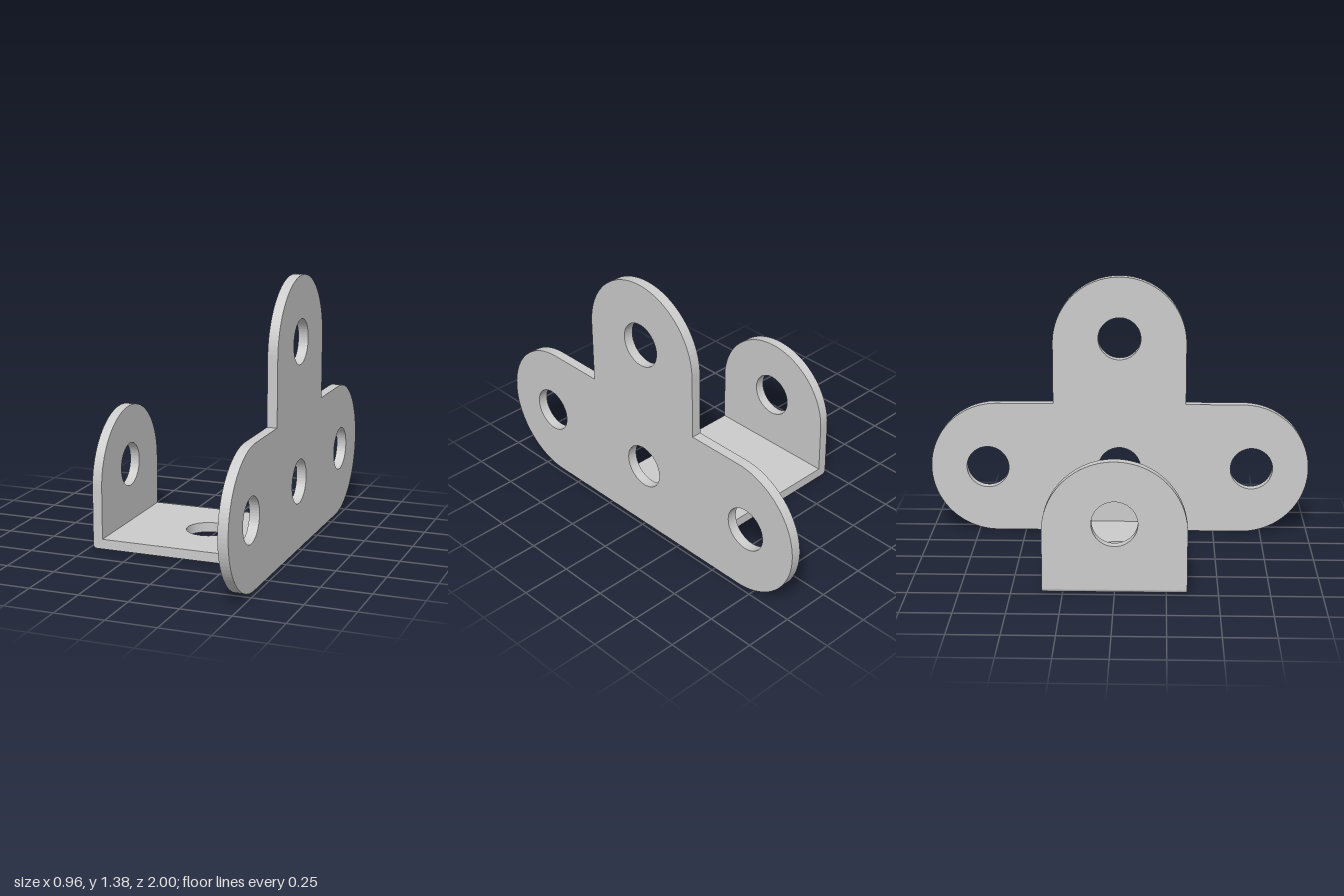
import * as THREE from 'three';

const T = 0.05;       // sheet thickness
const R = 0.35;       // radius of the rounded ends, half width of the strip
const HOLE = 0.112;   // bolt hole radius
const X = 0.48;       // outer face of both uprights

const material = new THREE.MeshStandardMaterial({ color: 0xcccccc });

function addHole(shape, x, y) {
  const hole = new THREE.Path();
  hole.absarc(x, y, HOLE, 0, Math.PI * 2, true);
  shape.holes.push(hole);
}

function extrude(shape, depth, curveSegments) {
  return new THREE.ExtrudeGeometry(shape, { depth, curveSegments, bevelEnabled: false });
}

function part(name, geometry) {
  const mesh = new THREE.Mesh(geometry, material);
  mesh.name = name;
  return mesh;
}

// Upright sheet: outline drawn in z and y, thickness along x starting at x0
function upright(name, shape, x0) {
  return part(name, extrude(shape, T, 24).rotateY(Math.PI / 2).translate(x0, 0, 0));
}

export function createModel() {
  const group = new THREE.Group();
  group.name = 'bracket';

  // Large T-shaped plate with rounded arms and four holes
  const tee = new THREE.Shape();
  tee.moveTo(-0.65, 0);
  tee.lineTo(0.65, 0);
  tee.absarc(0.65, R, R, -Math.PI / 2, Math.PI / 2, false);
  tee.lineTo(R, 2 * R);
  tee.absarc(0, 1.025, R, 0, Math.PI, false);
  tee.lineTo(-R, 2 * R);
  tee.absarc(-0.65, R, R, Math.PI / 2, Math.PI * 1.5, false);
  for (const [z, y] of [[-0.7, 0.35], [0, 0.35], [0.7, 0.35], [0, 1.05]]) addHole(tee, z, y);
  group.add(upright('teePlate', tee, X - T));

  // Small round-topped tab
  const tab = new THREE.Shape();
  tab.moveTo(-R, T);
  tab.lineTo(R, T);
  tab.absarc(0, 0.31, R, 0, Math.PI, false);
  tab.closePath();
  addHole(tab, 0, 0.35);
  group.add(upright('smallTab', tab, -X));

  // Floor strip joining the two uprights
  const w = X - T;
  const floor = new THREE.Shape();
  floor.moveTo(-w, -R);
  floor.lineTo(w, -R);
  floor.lineTo(w, R);
  floor.lineTo(-w, R);
  floor.closePath();
  addHole(floor, 0, 0);
  group.add(part('floorStrip', extrude(floor, T, 24).rotateX(-Math.PI / 2)));

  // Bend between floor and tab, rounded on the outside
  const r = 0.02;
  const bend = new THREE.Shape();
  bend.moveTo(-w, 0);
  bend.lineTo(-w, T);
  bend.lineTo(-X, T);
  bend.absarc(-X + r, r, r, Math.PI, Math.PI * 1.5, false);
  bend.closePath();
  group.add(part('bend', extrude(bend, 2 * R, 6).translate(0, 0, -R)));

  return group;
}
